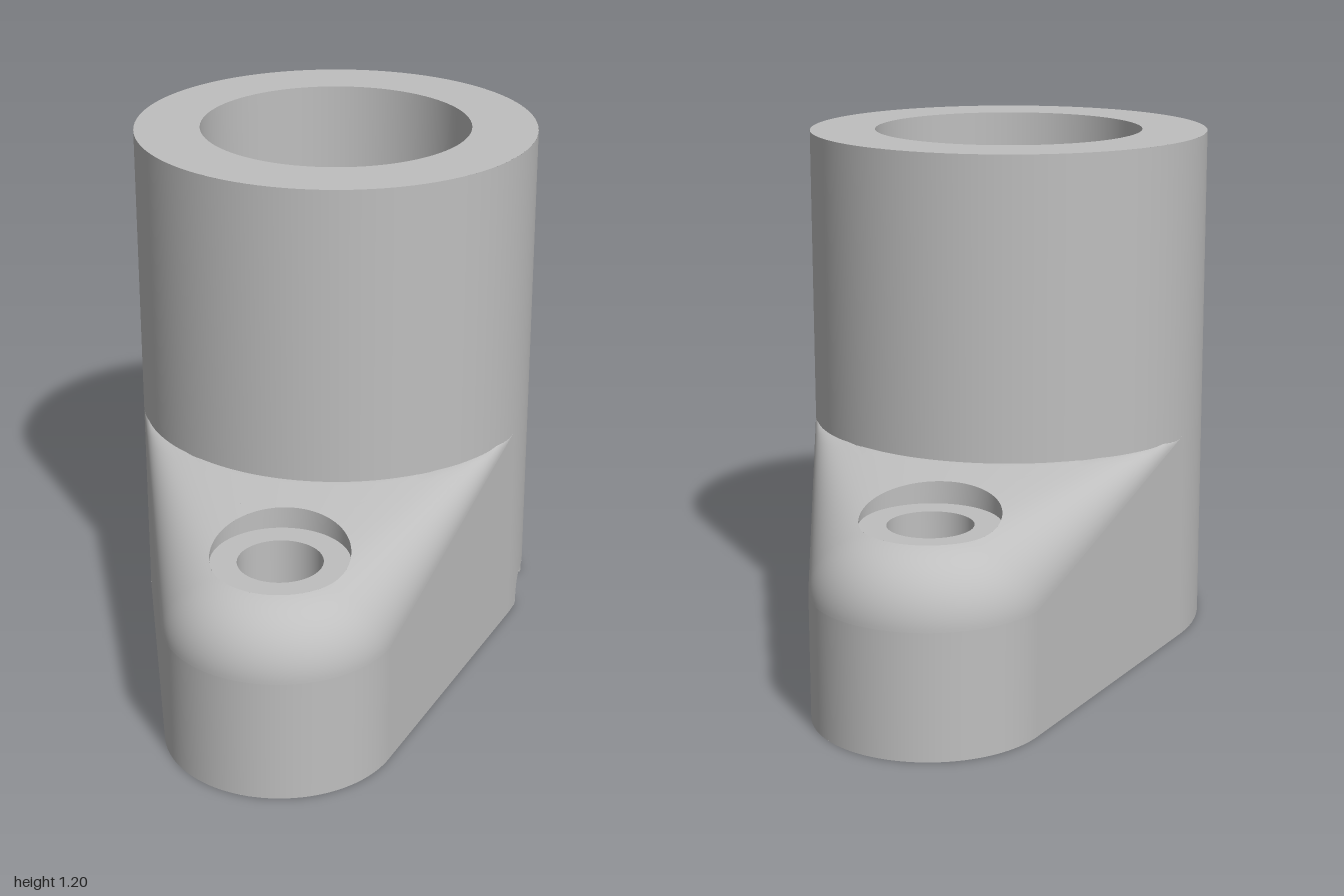
import * as THREE from 'three';

const BODY_R = 0.475, END_R = 0.265, END_Z = 0.735; // boss, flange end, bolt spacing
const DECK = 0.5, EDGE = 0.285, FILLET = 0.16; // flange heights and edge rounding
const SEAT_R = 0.155, SEAT_Y = 0.433, BOLT_R = 0.095;
const GROOVE_W = 0.08, GROOVE_H = 0.075, SLOT_X = 0.042;
const PHI = Math.asin((BODY_R - END_R) / END_Z); // tangent angle of the outline

const linspace = (a, b, n) => Array.from({ length: n + 1 }, (_, i) => a + (b - a) * i / n);

// Surface swept over columns i and rows j
function grid(cols, rows, point) {
  const pos = [], index = [], n = rows + 1;
  cols.forEach((c, i) => {
    for (let j = 0; j <= rows; j++) {
      pos.push(...point(c, j / rows));
      if (i && j) {
        const d = i * n + j, b = d - 1, c2 = d - n, a = c2 - 1;
        index.push(a, c2, b, c2, d, b);
      }
    }
  });
  const g = new THREE.BufferGeometry();
  g.setAttribute('position', new THREE.Float32BufferAttribute(pos, 3));
  g.setIndex(index);
  g.computeVertexNormals();
  return g;
}

// Largest value of a concave function
function peak(f, a, b) {
  for (let k = 0; k < 45; k++) {
    const p = a + (b - a) / 3, q = b - (b - a) / 3;
    if (f(p) < f(q)) a = p; else b = q;
  }
  return (a + b) / 2;
}

// Last place, going from a towards b, where the test still holds
function limit(test, a, b) {
  if (test(b)) return b;
  for (let k = 0; k < 40; k++) {
    const m = (a + b) / 2;
    if (test(m)) a = m; else b = m;
  }
  return a;
}

// Flange plan and top height: discs blended from the boss to the rounded end
const margin = (x, z) => t => BODY_R + (END_R - BODY_R) * t - Math.hypot(x, z - END_Z * t);
function height(x, z) {
  const m = margin(x, z), t0 = peak(m, 0, 1);
  const ok = t => m(t) >= -1e-7;
  const y = t => {
    const r = FILLET * t, d = Math.max(0, r - m(t));
    return DECK + (EDGE - DECK) * t + Math.sqrt(Math.max(0, r * r - d * d));
  };
  return y(peak(y, limit(ok, t0, 0), limit(ok, t0, 1)));
}

// Groove roof height across its width
const roof = z => GROOVE_H * Math.sqrt(Math.max(0, 1 - Math.pow(Math.abs(z) / GROOVE_W, 6)));

export function createModel() {
  const model = new THREE.Group();
  const grey = new THREE.MeshStandardMaterial({ color: 0xbfbfbf, side: THREE.DoubleSide });
  grey.name = 'plain grey';
  const add = (parent, name, geometry) => {
    const mesh = new THREE.Mesh(geometry, grey);
    mesh.name = name;
    parent.add(mesh);
    return mesh;
  };
  const lathe = (name, ...pts) =>
    add(model, name, new THREE.LatheGeometry(pts.map(p => new THREE.Vector2(...p)), 96));

  // Boss wall, its lower edge lifted over the drain groove
  const wall = new THREE.CylinderGeometry(BODY_R, BODY_R, 1.2, 288, 1, true).translate(0, 0.6, 0);
  const p = wall.attributes.position;
  for (let i = 0; i < p.count; i++) {
    if (p.getY(i) < 0.01 && p.getX(i) > 0 && Math.abs(p.getZ(i)) < GROOVE_W) p.setY(i, roof(p.getZ(i)));
  }
  add(model, 'bossWall', wall);

  // Rim, bore and funnel
  lathe('bossRim', [BODY_R, 1.2], [0.32, 1.2]);
  lathe('bore', [0.32, 1.2], [0.32, 0.31]);
  lathe('funnel', [0.32, 0.31], [0.09, 0.08]);

  // Funnel floor with the drain slot
  const floor = new THREE.Shape().absarc(0, 0, 0.091, 0, Math.PI * 2);
  const slot = new THREE.Path();
  const arcZ = GROOVE_W - SLOT_X;
  slot.absarc(0, arcZ, SLOT_X, 0, Math.PI);
  slot.absarc(0, -arcZ, SLOT_X, Math.PI, Math.PI * 2);
  floor.holes.push(slot);
  add(model, 'funnelFloor', new THREE.ShapeGeometry(floor, 24).rotateX(-Math.PI / 2).translate(0, 0.08, 0));

  // Drain groove running out to the left side
  add(model, 'drainGroove', grid(linspace(-1, 1, 48), 1, (u, v) => {
    const z = GROOVE_W * Math.sin(u * Math.PI / 2);
    const x = v ? Math.sqrt(BODY_R ** 2 - z * z) : SLOT_X;
    return [x, roof(z), z];
  }));
  const endPath = [[SLOT_X, -0.08], [-0.02, -0.08], [-SLOT_X, -0.06], [-SLOT_X, 0.06], [-0.02, 0.08], [SLOT_X, 0.08]];
  add(model, 'grooveEnd', grid(endPath, 1, ([x, z], v) => [x, v * 0.08, z]));

  // Underside
  const base = new THREE.Shape();
  const notch = Math.asin(GROOVE_W / BODY_R), PI = Math.PI;
  base.absarc(0, 0, BODY_R, notch, PHI);
  base.absarc(0, END_Z, END_R, PHI, PI - PHI);
  base.absarc(0, 0, BODY_R, PI - PHI, PI + PHI);
  base.absarc(0, -END_Z, END_R, PI + PHI, 2 * PI - PHI);
  base.absarc(0, 0, BODY_R, 2 * PI - PHI, 2 * PI - notch);
  endPath.slice(1, 5).forEach(([x, z]) => base.lineTo(x, z));
  for (const s of [1, -1]) {
    base.holes.push(new THREE.Path().absarc(0, s * END_Z, BOLT_R, 0, 2 * PI));
  }
  add(model, 'underside', new THREE.ShapeGeometry(base, 32).rotateX(PI / 2));

  // One flange end, described by rays around its bolt hole
  const at = (a, r) => [r * Math.sin(a), END_Z + r * Math.cos(a)];
  const tangent = Math.atan2(BODY_R * Math.cos(PHI), BODY_R * Math.sin(PHI) - END_Z);
  const toEdge = linspace(-tangent, tangent, 140).map(a => {
    const inside = r => {
      const m = margin(...at(a, r));
      return m(peak(m, 0, 1)) > 0;
    };
    return { a, r: limit(inside, SEAT_R, 1.2) };
  });
  const toBoss = linspace(tangent, 2 * PI - tangent, 50).map(a => ({
    a, r: limit(r => Math.hypot(...at(a, r)) > 0.46, SEAT_R, -END_Z * Math.cos(a)),
  }));
  const surface = (a, r) => {
    const [x, z] = at(a, r);
    return [x, height(x, z), z];
  };
  const top = ({ a, r }, v) => surface(a, SEAT_R + (r - SEAT_R) * Math.sin(v * PI / 2));
  const circle = linspace(0, 2 * PI, 96);
  const ring = (r, y) => a => {
    const [x, z] = at(a, r);
    return [x, y, z];
  };

  const front = new THREE.Group();
  front.name = 'frontFlange';
  add(front, 'flangeTop', grid(toEdge, 28, top));
  add(front, 'flangeShoulder', grid(toBoss, 12, top));
  add(front, 'flangeWall', grid(toEdge, 1, ({ a, r }, v) => {
    const [x, y, z] = surface(a, r);
    return [x, y * (1 - v), z];
  }));
  add(front, 'boltSeatWall', grid(circle, 1, (a, v) => v ? surface(a, SEAT_R) : ring(SEAT_R, SEAT_Y)(a)));
  add(front, 'boltSeat', grid(circle, 1, (a, v) => ring(v ? SEAT_R : BOLT_R, SEAT_Y)(a)));
  add(front, 'boltHole', grid(circle, 1, (a, v) => ring(BOLT_R, v * SEAT_Y)(a)));
  model.add(front);

  const back = front.clone();
  back.name = 'backFlange';
  back.rotation.y = PI;
  model.add(back);
  return model;
}
